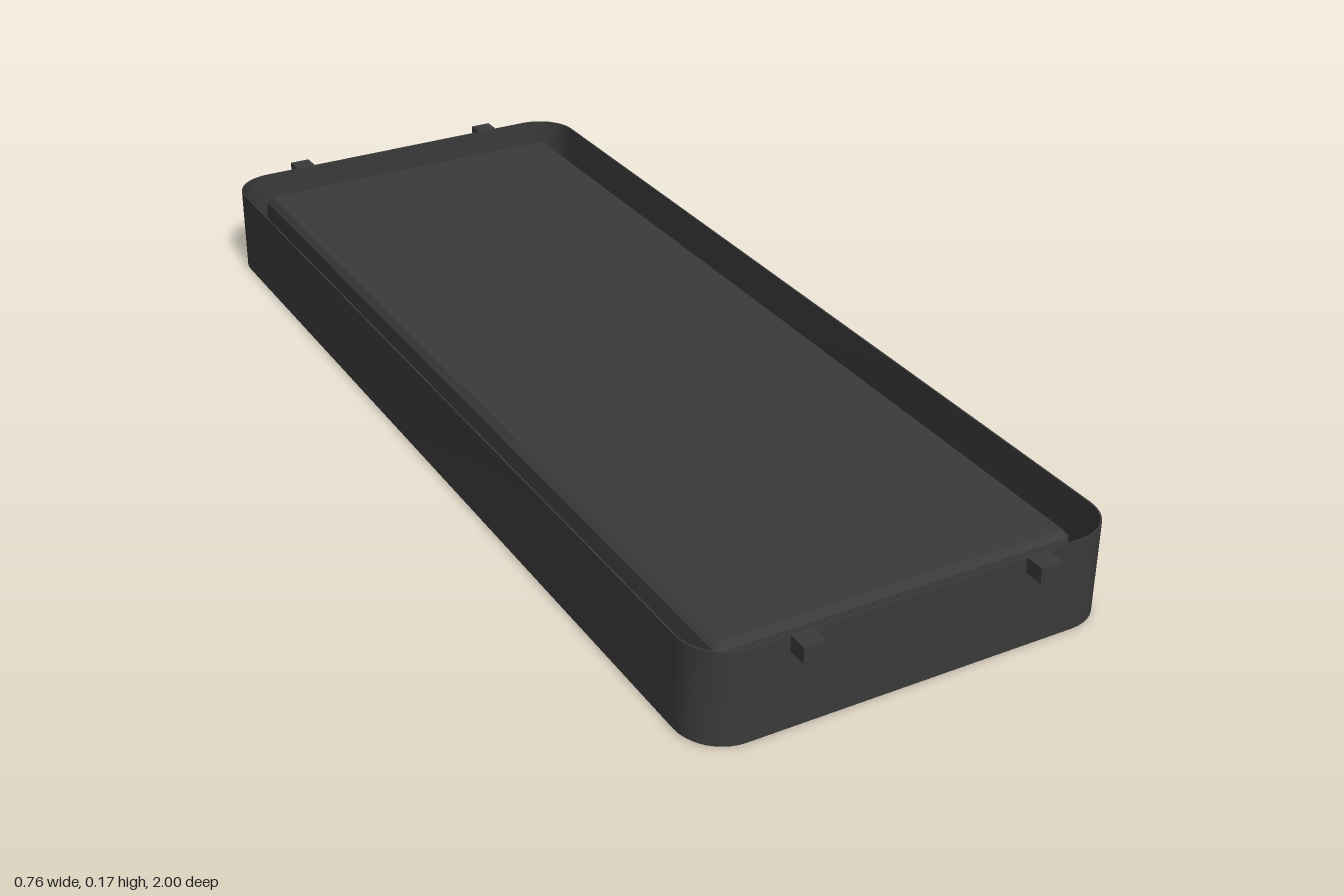
import * as THREE from 'three';
import { toCreasedNormals } from 'three/addons/utils/BufferGeometryUtils.js';

const material = new THREE.MeshStandardMaterial({ color: 0x3a3a3a });

// Rounded rectangle outline: half sizes hx, hz, height y, corner radius r
function outline([hx, hz, y, r], steps = 10) {
  const points = [];
  for (let c = 0; c < 4; c++) {
    const sx = c === 0 || c === 3 ? 1 : -1;
    const sz = c < 2 ? 1 : -1;
    for (let i = 0; i <= steps; i++) {
      const a = (c + i / steps) * Math.PI / 2;
      points.push([sx * (hx - r) + r * Math.cos(a), y, sz * (hz - r) + r * Math.sin(a)]);
    }
  }
  return points;
}

// Skin joining successive rounded rectangles
function loft(name, sections) {
  const loops = sections.map((s) => outline(s));
  const n = loops[0].length;
  const index = [];
  for (let k = 0; k < loops.length - 1; k++) {
    for (let i = 0; i < n; i++) {
      const a = k * n + i, b = k * n + (i + 1) % n;
      index.push(a, a + n, b, b, a + n, b + n);
    }
  }
  const geometry = new THREE.BufferGeometry();
  geometry.setAttribute('position', new THREE.Float32BufferAttribute(loops.flat(2), 3));
  geometry.setIndex(index);
  const mesh = new THREE.Mesh(toCreasedNormals(geometry, 0.5), material);
  mesh.name = name;
  return mesh;
}

function box(w, h, d, x, y, z) {
  const mesh = new THREE.Mesh(new THREE.BoxGeometry(w, h, d), material);
  mesh.position.set(x, y, z);
  return mesh;
}

export function createModel() {
  const model = new THREE.Group();
  model.name = 'filterCartridge';

  // Thin-walled tray: underside recess, bottom frame, outer wall, inner wall, channel floor
  model.add(loft('tray', [
    [0.32, 0.905, 0.065, 0.02],
    [0.32, 0.905, 0.008, 0.02],
    [0.345, 0.93, 0.008, 0.045],
    [0.345, 0.93, 0, 0.045],
    [0.377, 0.962, 0, 0.077],
    [0.38, 0.965, 0.003, 0.08],
    [0.38, 0.965, 0.17, 0.08],
    [0.377, 0.962, 0.17, 0.077],
    [0.377, 0.962, 0.012, 0.077],
    [0.335, 0.92, 0.012, 0.03],
  ]));

  // Raised block standing inside the tray, with slightly tapered sides
  model.add(loft('core', [
    [0.335, 0.92, 0.012, 0.015],
    [0.325, 0.91, 0.135, 0.008],
    [0.315, 0.9, 0.147, 0.004],
    [0, 0, 0.147, 0],
  ]));

  // Floor of the underside recess
  model.add(loft('basePanel', [[0, 0, 0.065, 0], [0.32, 0.905, 0.065, 0.02]]));

  // Row of rounded slats spanning the underside recess
  const slats = new THREE.Group();
  slats.name = 'slats';
  const slatGeometry = new THREE.CylinderGeometry(0.015, 0.015, 0.64, 14, 1, true)
    .rotateZ(Math.PI / 2).scale(1, 2, 1);
  const count = 28;
  for (let i = 0; i < count; i++) {
    const slat = new THREE.Mesh(slatGeometry, material);
    slat.name = 'slat';
    slat.position.set(0, 0.065, (i - (count - 1) / 2) * 0.061);
    slats.add(slat);
  }
  model.add(slats);

  // Clip tabs, two on each end
  for (const sx of [-1, 1]) {
    for (const sz of [-1, 1]) {
      const tab = new THREE.Group();
      tab.name = 'clipTab';
      tab.add(box(0.04, 0.028, 0.037, sx * 0.213, 0.156, sz * 0.9815));
      tab.add(box(0.022, 0.006, 0.024, sx * 0.213, 0.14, sz * 0.985));
      model.add(tab);
    }
  }
  return model;
}
